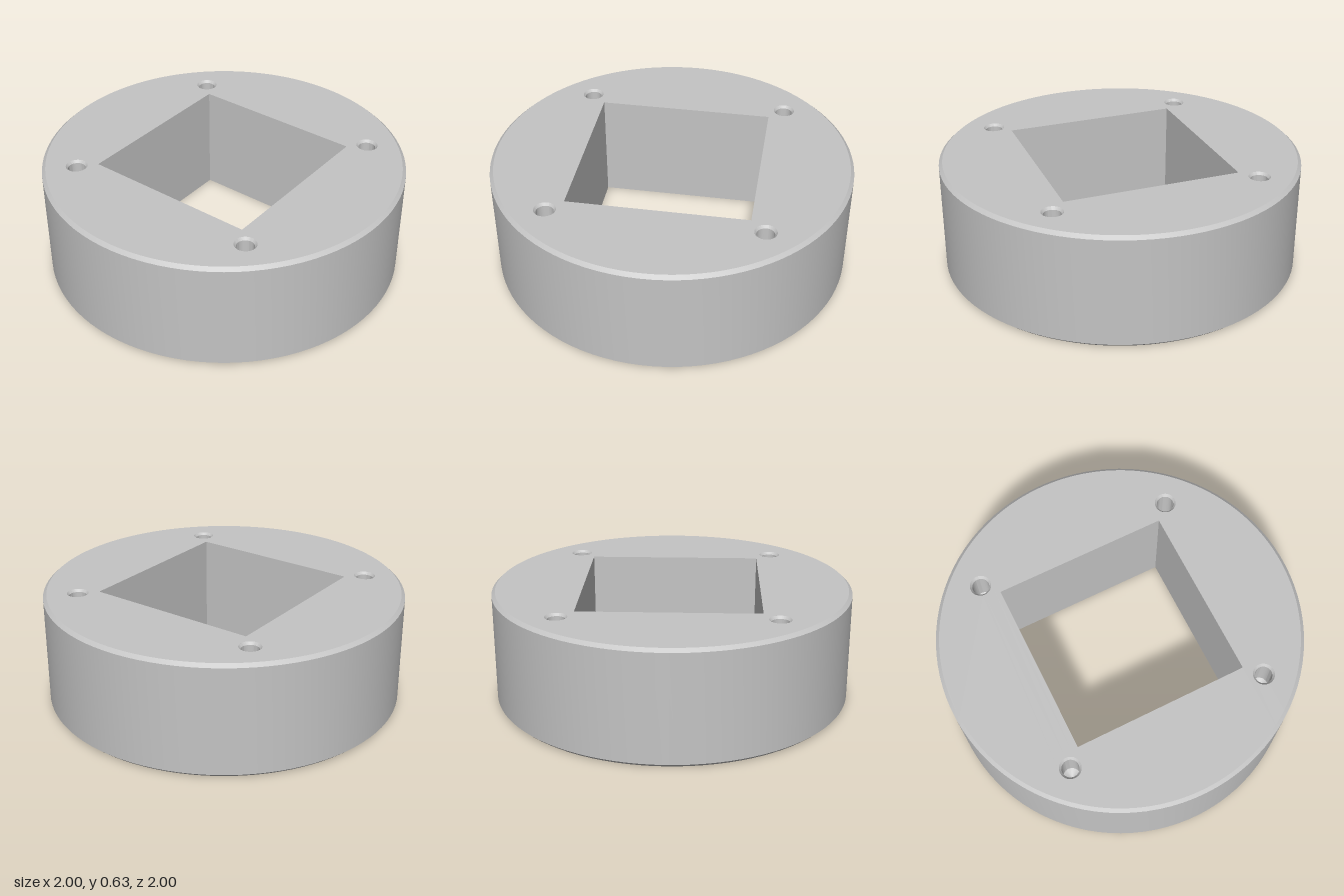
import * as THREE from 'three';
import { toCreasedNormals } from 'three/addons/utils/BufferGeometryUtils.js';

const SEG = 96;
const HEIGHT = 0.63;
const HALF = 0.49;      // half width of the square opening
const BOLT = 0.573;     // bolt hole offset in x and z
const BOLT_R = 0.059;

export function createModel() {
  const group = new THREE.Group();
  const grey = new THREE.MeshStandardMaterial({ color: 0xc4c4c4 });
  grey.name = 'light grey';

  const add = (name, geometry, x = 0, y = 0, z = 0) => {
    const mesh = new THREE.Mesh(geometry, grey);
    mesh.name = name;
    mesh.position.set(x, y, z);
    group.add(mesh);
  };

  // Revolved surface with sharp profile corners
  const lathe = (profile, segments = SEG, start = 0) => toCreasedNormals(
    new THREE.LatheGeometry(profile.map(([r, y]) => new THREE.Vector2(r, y)), segments, start), 0.5);

  // Disc with the square opening cut out
  const disc = (radius) => {
    const shape = new THREE.Shape().absarc(0, 0, radius, 0, Math.PI * 2);
    shape.holes.push(new THREE.Path([[-1, -1], [-1, 1], [1, 1], [1, -1]]
      .map(([x, y]) => new THREE.Vector2(x * HALF, y * HALF))));
    return shape;
  };
  const corners = [[1, 1], [1, -1], [-1, 1], [-1, -1]];

  // Core wall, underside groove, lower rim and chamfered outer wall
  add('ringBody', lathe([
    [0.79, 0], [0.79, 0.32], [0.92, 0.32], [0.92, 0],
    [0.98, 0], [1, 0.018], [1, HEIGHT - 0.018], [0.98, HEIGHT],
  ]));

  // Top face with bolt holes
  const top = disc(0.98);
  for (const [x, z] of corners) {
    top.holes.push(new THREE.Path().absarc(x * BOLT, z * BOLT, BOLT_R, 0, Math.PI * 2, true));
  }
  add('topFace', new THREE.ShapeGeometry(top, SEG).rotateX(-Math.PI / 2), 0, HEIGHT, 0);

  // Underside of the core
  add('coreUnderside', new THREE.ShapeGeometry(disc(0.79), SEG).rotateX(Math.PI / 2));

  // Straight walls of the square opening
  const r = HALF * Math.SQRT2;
  add('squareOpening', lathe([[r, HEIGHT], [r, 0]], 4, Math.PI / 4));

  // Countersunk blind bolt holes with drilled tips
  const bore = lathe([[BOLT_R, 0], [0.047, -0.014], [0.047, -0.2], [0, -0.23]]);
  for (const [x, z] of corners) add('boltHole', bore, x * BOLT, HEIGHT, z * BOLT);

  return group;
}
